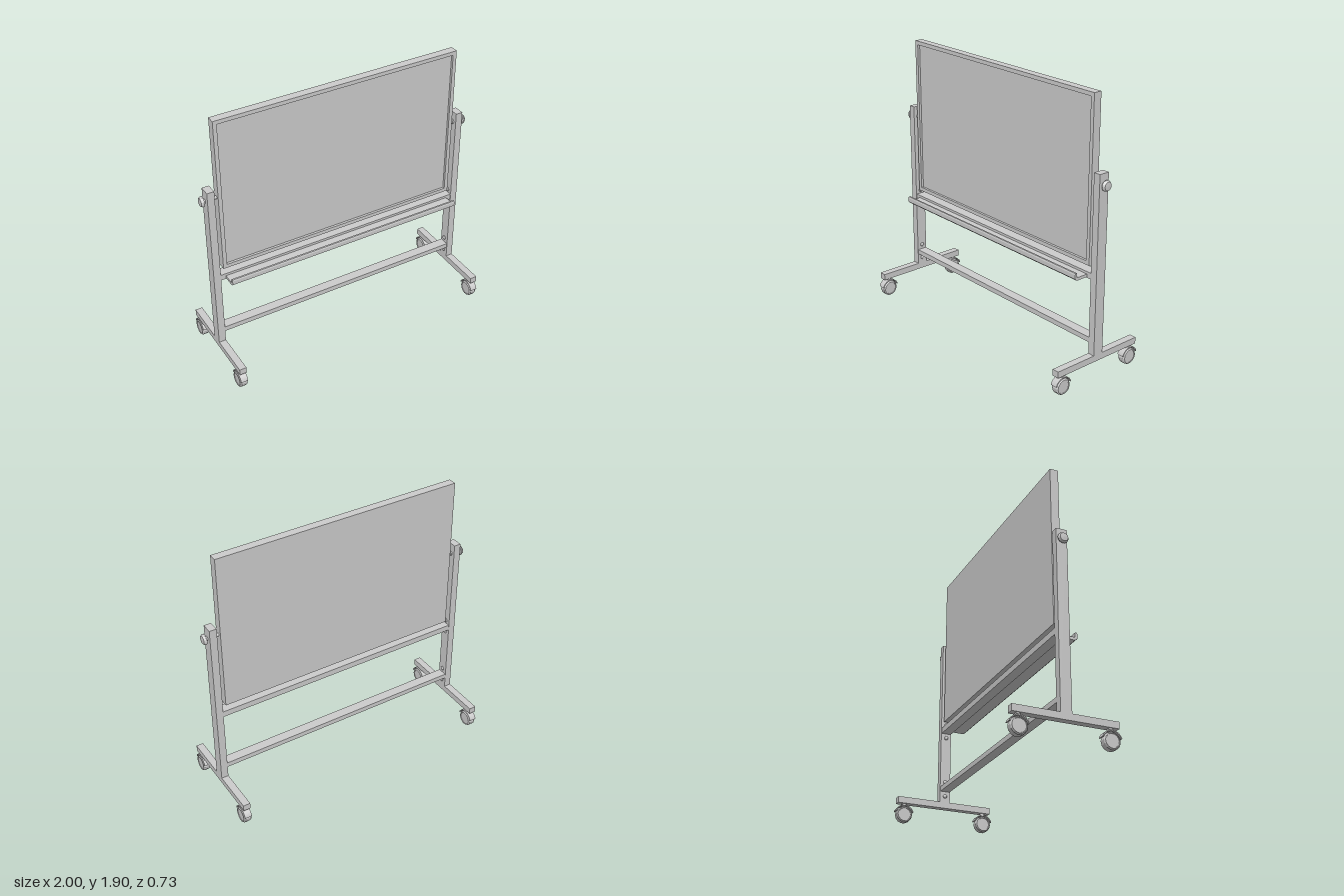
import * as THREE from 'three';

const grey = new THREE.MeshStandardMaterial({ color: 0xcccccc });
const flat = new THREE.MeshStandardMaterial({ color: 0xcccccc, flatShading: true });

function add(parent, name, geometry, x = 0, y = 0, z = 0, material = flat) {
  const mesh = new THREE.Mesh(geometry, material);
  mesh.name = name;
  mesh.position.set(x, y, z);
  parent.add(mesh);
  return mesh;
}

// Box given by its extents along each axis
function addBox(parent, name, [x0, x1], [y0, y1], [z0, z1]) {
  return add(parent, name, new THREE.BoxGeometry(x1 - x0, y1 - y0, z1 - z0),
    (x0 + x1) / 2, (y0 + y1) / 2, (z0 + z1) / 2, grey);
}

// Solid turned about the x axis; profile is [radius, x] pairs
function turnedX(profile, sides) {
  return new THREE.LatheGeometry(profile.map(([r, h]) => new THREE.Vector2(r, h)), sides)
    .rotateZ(-Math.PI / 2);
}

function extrude(shape, depth) {
  return new THREE.ExtrudeGeometry(shape, { depth, bevelEnabled: false, curveSegments: 12 });
}

function rect(Type, x0, x1, y0, y1) {
  return new Type([[x0, y0], [x1, y0], [x1, y1], [x0, y1]].map(p => new THREE.Vector2(...p)));
}

function createCaster() {
  const caster = new THREE.Group();
  caster.name = 'caster';
  // Bevelled wheel with shallow recessed sides
  add(caster, 'wheel', turnedX([[0, -0.024], [0.044, -0.024], [0.045, -0.028], [0.05, -0.028],
    [0.057, -0.018], [0.057, 0.018], [0.05, 0.028], [0.045, 0.028], [0.044, 0.024], [0, 0.024]], 14),
    0, 0.057, 0);
  // Curved hood over the wheel
  const hood = new THREE.Shape();
  hood.absarc(0, 0, 0.068, 0.3, Math.PI - 0.3, false);
  hood.absarc(0, 0, 0.061, Math.PI - 0.3, 0.3, true);
  hood.closePath();
  add(caster, 'hood', extrude(hood, 0.05).translate(0, 0, -0.025).rotateY(Math.PI / 2), 0, 0.057, 0);
  // Swivel stem
  add(caster, 'stem', new THREE.CylinderGeometry(0.017, 0.017, 0.022, 16), 0, 0.128, 0, flat);
  return caster;
}

function createSide() {
  const side = new THREE.Group();
  side.name = 'sideSupport';
  addBox(side, 'post', [0.912, 0.962], [0.18, 1.415], [-0.038, 0.038]);
  addBox(side, 'foot', [0.912, 0.962], [0.137, 0.182], [-0.35, 0.35]);
  for (const z of [-0.3, 0.3]) {
    const caster = createCaster();
    caster.position.set(0.937, 0, z);
    side.add(caster);
  }
  // Bolt heads on the inner face, above and below each rail
  for (const y of [0.225, 0.33, 0.67, 0.77]) {
    add(side, 'bolt', turnedX([[0.015, 0.002], [0.015, -0.003], [0.01, -0.008], [0, -0.01]].reverse(), 10),
      0.912, y, 0);
  }
  // Pivot rod with collar and tightening knob
  const rod = new THREE.CylinderGeometry(0.011, 0.011, 0.11, 12).rotateZ(Math.PI / 2);
  add(side, 'pivotRod', rod, 0.93, 1.34, 0);
  add(side, 'pivotCollar', turnedX([[0, -0.006], [0.017, -0.006], [0.017, 0.006], [0, 0.006]], 12),
    0.908, 1.34, 0);
  add(side, 'knob', turnedX([[0, -0.02], [0.016, -0.02], [0.02, -0.012], [0.036, -0.008],
    [0.036, -0.001], [0.028, 0.012], [0, 0.014]], 16), 0.986, 1.34, 0);
  return side;
}

export function createModel() {
  const model = new THREE.Group();
  model.name = 'mobileBoard';

  // Board: frame open to the front, panel flush with the back
  const frame = rect(THREE.Shape, -0.885, 0.885, 0.785, 1.905);
  frame.holes.push(rect(THREE.Path, -0.858, 0.858, 0.812, 1.878));
  add(model, 'boardFrame', extrude(frame, 0.058), 0, 0, -0.029, grey);
  addBox(model, 'boardPanel', [-0.858, 0.858], [0.812, 1.878], [-0.029, 0.012]);

  // Rails joining the posts
  addBox(model, 'upperRail', [-0.912, 0.912], [0.703, 0.745], [-0.035, 0.035]);
  addBox(model, 'lowerRail', [-0.912, 0.912], [0.26, 0.295], [-0.035, 0.035]);

  // Tray with upturned lip; drawn in z and y, extruded along x
  const tray = new THREE.Shape([[0.03, 0.708], [0.122, 0.708], [0.138, 0.722], [0.138, 0.75],
    [0.134, 0.76], [0.122, 0.76], [0.122, 0.734], [0.116, 0.728], [0.03, 0.728]]
    .map(p => new THREE.Vector2(...p)));
  add(model, 'tray', extrude(tray, 1.75).rotateY(-Math.PI / 2).translate(0.875, 0, 0));

  // Left and right supports: the right one is the left turned half round
  const left = createSide();
  const right = createSide();
  right.rotation.y = Math.PI;
  model.add(left, right);
  return model;
}
